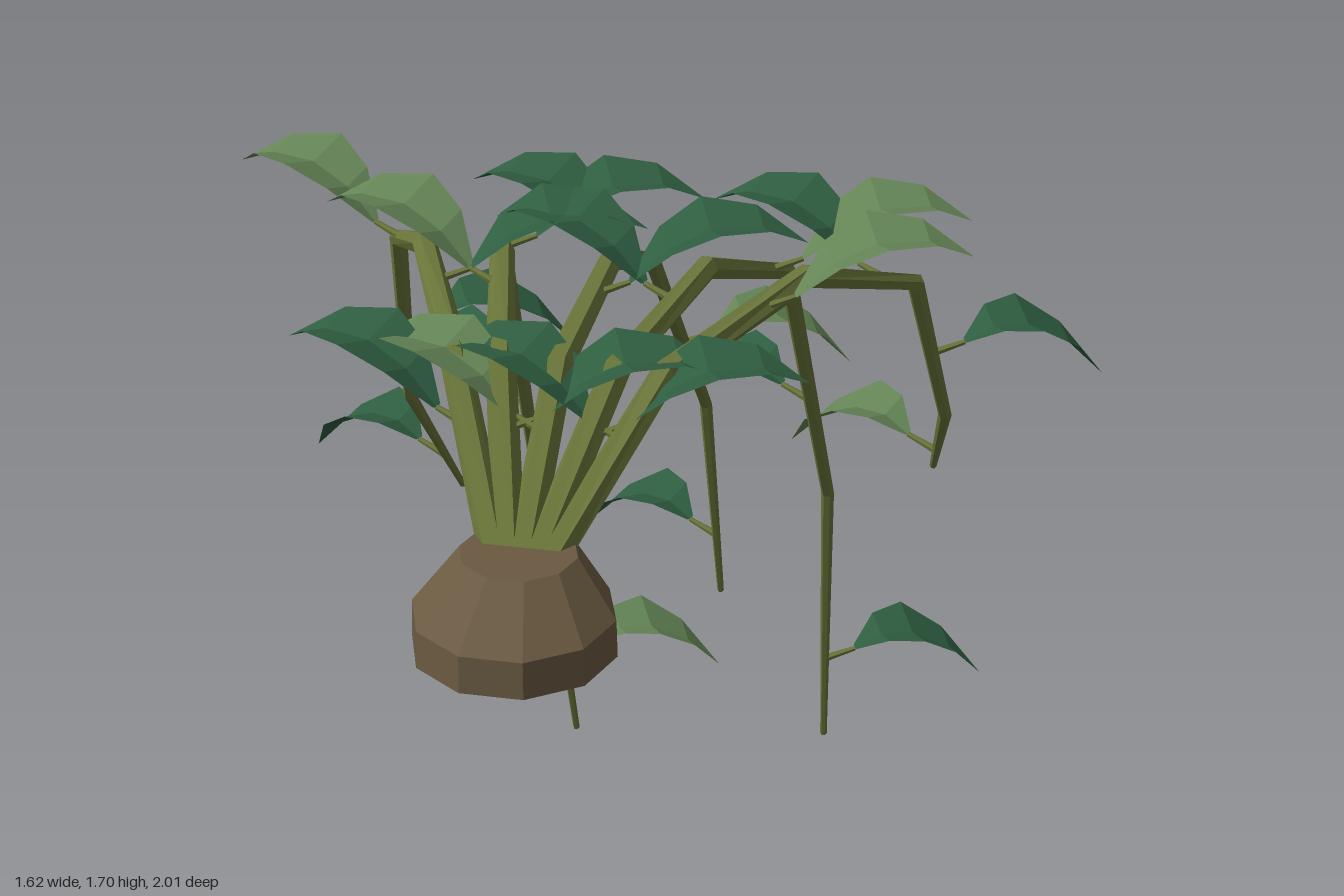
import * as THREE from 'three';

const flat = (name, color, side = THREE.FrontSide) => {
  const m = new THREE.MeshStandardMaterial({ color, side, flatShading: true });
  m.name = name;
  return m;
};

// Open strip or closed tube from equal-length rows of points
function loft(rows, closed) {
  const n = rows[0].length, pos = [], idx = [];
  rows.forEach(r => r.forEach(p => pos.push(p.x, p.y, p.z)));
  for (let i = 0; i < rows.length - 1; i++) {
    for (let j = 0; j < (closed ? n : n - 1); j++) {
      const a = i * n + j, b = i * n + (j + 1) % n;
      idx.push(a, b, a + n, b, b + n, a + n);
    }
  }
  const g = new THREE.BufferGeometry();
  g.setAttribute('position', new THREE.Float32BufferAttribute(pos, 3));
  g.setIndex(idx);
  g.computeVertexNormals();
  return g;
}

// Tapered six-sided stem along a bent path
function stemGeometry(path, radii) {
  const rows = path.map((p, i) => {
    const t = new THREE.Vector3();
    if (i > 0) t.add(p.clone().sub(path[i - 1]).normalize());
    if (i < path.length - 1) t.add(path[i + 1].clone().sub(p).normalize());
    t.normalize();
    const u = new THREE.Vector3(1, 0, 0).addScaledVector(t, -t.x).normalize();
    const v = t.clone().cross(u);
    return Array.from({ length: 6 }, (_, k) => {
      const a = k * Math.PI / 3;
      return p.clone().addScaledVector(u, radii[i] * Math.cos(a)).addScaledVector(v, radii[i] * Math.sin(a));
    });
  });
  rows.push(rows[0].map(() => path[path.length - 1].clone())); // closed tip
  return loft(rows, true);
}

// Arched leaf with a folded midrib, from base to tip
function leafGeometry(base, tip) {
  const T = [0, 0.2, 0.45, 0.75, 1];
  const W = [0.01, 0.06, 0.085, 0.058, 0.001];
  const ARCH = [0, 0.045, 0.065, 0.047, 0];
  const d = tip.clone().sub(base);
  const side = new THREE.Vector3(-d.z, 0, d.x).normalize();
  return loft(T.map((t, i) => [-1, 0, 1].map(s => {
    const p = base.clone().addScaledVector(d, t).addScaledVector(side, s * W[i]);
    p.y += ARCH[i] + Math.abs(s) * W[i] * 0.3;
    return p;
  })), false);
}

// Point on a path at a given z (z falls along the path)
function pointAtZ(path, z) {
  let i = 0;
  while (i < path.length - 2 && path[i + 1].z > z) i++;
  const a = path[i], b = path[i + 1];
  return a.clone().lerp(b, (z - a.z) / (b.z - a.z));
}

export function createModel() {
  const group = new THREE.Group();
  const bark = flat('root brown', 0x6b5a42);
  const olive = flat('stem olive', 0x6a763a);
  const dark = flat('leaf dark green', 0x2f5e41, THREE.DoubleSide);
  const light = flat('leaf light green', 0x648556, THREE.DoubleSide);
  const add = (name, geo, mat) => {
    const m = new THREE.Mesh(geo, mat);
    m.name = name;
    group.add(m);
  };

  // Root clump: straight band below, sloping shoulder leaning to the back
  const root = new THREE.CylinderGeometry(0.1, 0.174, 0.155, 10, 2, false, Math.PI / 10);
  const rp = root.attributes.position;
  for (let i = 0; i < rp.count; i++) {
    let x = rp.getX(i), y = rp.getY(i), z = rp.getZ(i);
    if (Math.abs(y) < 0.01) {
      const k = 0.172 / 0.137;
      x *= k; z *= k; y = -0.01;
    } else if (y > 0.05) z -= 0.04;
    rp.setXYZ(i, x - 0.036, y + 1.2575, z + 0.834);
  }
  root.computeVertexNormals();
  add('root', root, bark);

  // Five vines: x at the shared bends, then lower bend, end, and z of the two low leaves
  const vines = [
    { x: [-0.081, -0.205, -0.35, -0.487], low: [-0.53, 1.0, -0.36], end: [-0.49, 0.68, -0.6], leaves: [-0.27, -0.52] },
    { x: [-0.058, -0.125, -0.21, -0.288], low: [-0.325, 0.77, -0.55], end: [-0.3, 0, -0.795], leaves: [-0.38, -0.72] },
    { x: [-0.035, -0.025, -0.015, -0.007], low: [-0.006, 0.86, -0.71], end: [-0.006, 0.315, -0.905], leaves: [-0.465, -0.845] },
    { x: [-0.012, 0.072, 0.155, 0.245], low: [0.272, 0.77, -0.55], end: [0.25, 0.09, -0.735], leaves: [-0.38, -0.675] },
    { x: [0.011, 0.155, 0.33, 0.48], low: [0.52, 1.06, -0.37], end: [0.48, 0.85, -0.555], leaves: [-0.27, -0.5] },
  ];
  const bends = [[1.31, 0.77], [1.55, 0.53], [1.575, 0.16], [1.43, -0.16]];
  const radii = [0.028, 0.026, 0.022, 0.017, 0.013, 0.007];

  vines.forEach((vine, i) => {
    const path = bends.map(([y, z], k) => new THREE.Vector3(vine.x[k], y, z));
    path.push(new THREE.Vector3(...vine.low), new THREE.Vector3(...vine.end));
    add('vine', stemGeometry(path, radii), olive);

    // Leaves alternate sides along the vine; every third one is pale
    [0.617, 0.288, -0.082, ...vine.leaves].forEach((z, j) => {
      const s = (i + j) % 2 ? 1 : -1, upper = j < 3;
      const joint = pointAtZ(path, z);
      const base = joint.clone().add(new THREE.Vector3(s * 0.06, 0.02, -0.02));
      const tip = base.clone().add(new THREE.Vector3(s * (upper ? 0.288 : 0.248), upper ? 0.047 : -0.098, -0.12));
      add('leafStalk', stemGeometry([joint, base], [0.008, 0.005]), olive);
      add('leaf', leafGeometry(base, tip), (i + j) % 3 === 2 ? light : dark);
    });
  });
  return group;
}
